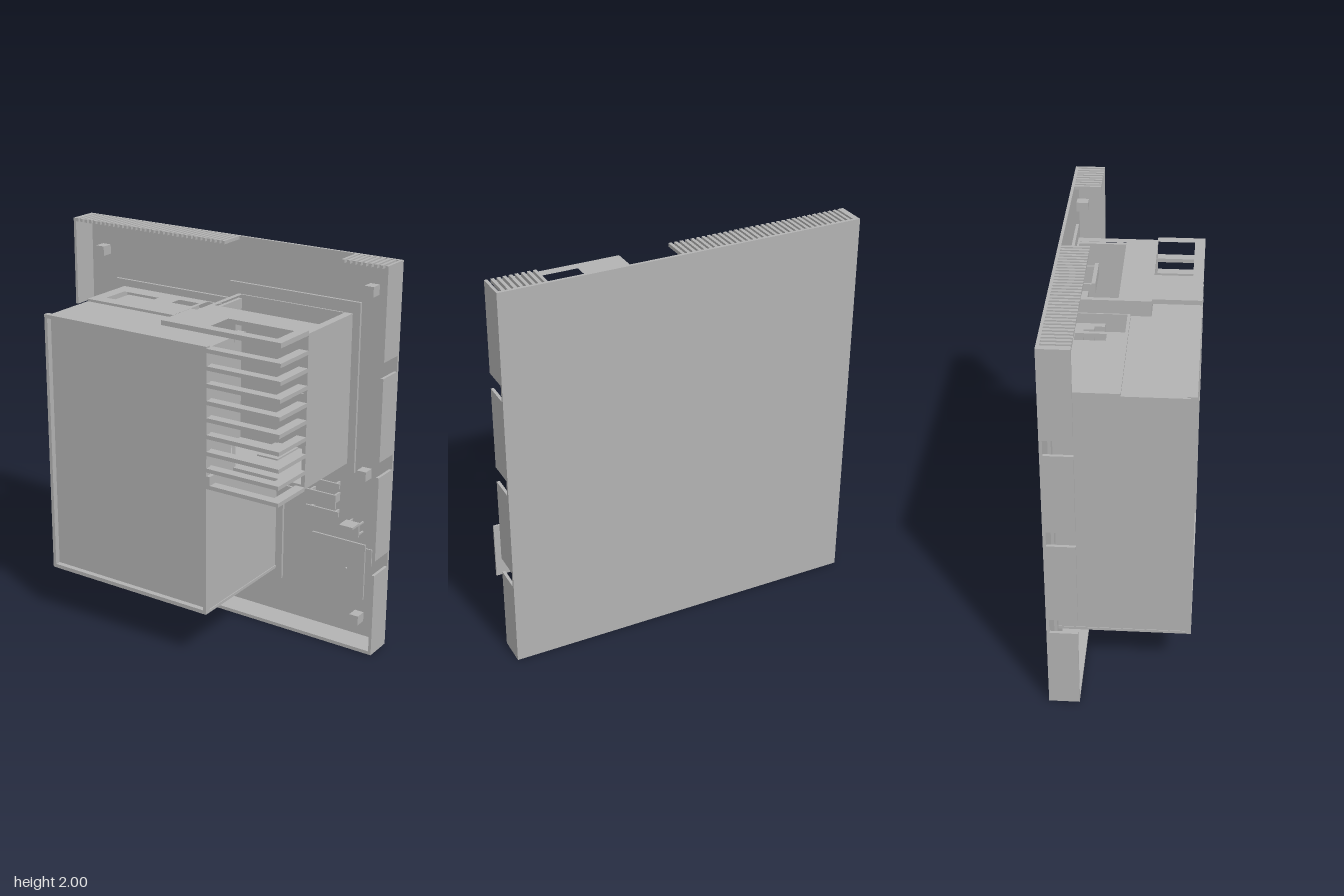
import * as THREE from 'three';

export function createModel() {
  const model = new THREE.Group();
  const grey = new THREE.MeshStandardMaterial({ color: 0xb2b2b2 });
  grey.name = 'plainGrey';

  const add = (name, geo) => {
    const m = new THREE.Mesh(geo, grey);
    m.name = name;
    model.add(m);
    return m;
  };
  // Box from its extents
  const box = (name, x0, x1, y0, y1, z0, z1) =>
    add(name, new THREE.BoxGeometry(x1 - x0, y1 - y0, z1 - z0)
      .translate((x0 + x1) / 2, (y0 + y1) / 2, (z0 + z1) / 2));

  // Slab with rectangular holes. axis is the thickness direction, starting at "at".
  // Rects are [u0,u1,v0,v1]: (x,y) for z, (x,z) for y, (z,y) for x.
  const panel = (name, axis, at, thick, rect, holes = []) => {
    const pts = ([a, b, c, d]) => [[a, c], [b, c], [b, d], [a, d]].map(([u, v]) =>
      new THREE.Vector2(axis === 'x' ? -u : u, axis === 'y' ? -v : v));
    const shape = new THREE.Shape(pts(rect));
    holes.forEach(h => shape.holes.push(new THREE.Path(pts(h))));
    const geo = new THREE.ExtrudeGeometry(shape, { depth: thick, bevelEnabled: false });
    if (axis === 'x') geo.rotateY(Math.PI / 2).translate(at, 0, 0);
    else if (axis === 'y') geo.rotateX(-Math.PI / 2).translate(0, at, 0);
    else geo.translate(0, 0, at);
    return add(name, geo);
  };

  // Plot: base slab, lower wall and side walls with three gaps
  const G = -0.325;
  box('baseSlab', -0.92, 0.92, 0, 2, -0.34, G);
  box('endWall', -0.92, 0.92, 0, 0.018, G, -0.19);
  const spans = [[0.018, 0.44], [0.52, 0.96], [1.04, 1.46], [1.54, 2]];
  for (const s of [-1, 1])
    for (const [a, b] of spans)
      box('sideWall', s * 0.9125 - 0.0075, s * 0.9125 + 0.0075, a, b, G, -0.19);

  // Slatted fence on both sides of the opening
  for (const [a, b] of [[-0.905, 0.02], [0.675, 0.905]])
    for (let x = a; x < b - 0.01; x += 0.0285)
      box('fenceSlat', x, x + 0.016, 1.983, 2, G, -0.19);

  // Plinth around the house
  const plinth = new THREE.Shape([
    [-0.74, 0.215], [0.315, 0.215], [0.315, 0.9], [0.72, 0.9],
    [0.72, 1.77], [-0.025, 1.77], [-0.025, 1.68], [-0.74, 1.68],
  ].map(p => new THREE.Vector2(...p)));
  add('plinth', new THREE.ExtrudeGeometry(plinth, { depth: 0.015, bevelEnabled: false }).translate(0, 0, G));
  const F = -0.31;

  // Main house: inner cores behind the recessed windows
  box('houseCore', -0.66, -0.16, 0.3, 1.6, F, 0.3);
  box('houseCore', -0.16, 0.03, 0.3, 1.5, F, 0.3);
  box('upperCore', 0.03, 0.25, 0.3, 1.6, 0.08, 0.3);
  box('lowerCore', 0.03, 0.25, 0.3, 0.95, F, 0.08);
  box('porchCeiling', -0.16, 0.03, 1.5, 1.61, -0.015, 0.3);

  // Main house walls with window openings
  panel('rightWall', 'x', -0.687, 0.02, [F, 0.31, 0.28, 1.63], [
    [0.08, 0.28, 1.37, 1.55], [0.08, 0.28, 1.11, 1.28],
    [0.08, 0.28, 0.75, 1.04], [0.08, 0.28, 0.35, 0.68]]);
  panel('leftWallLower', 'x', 0.255, 0.02, [F, 0.31, 0.28, 0.95], [
    [0.08, 0.26, 0.325, 0.585], [-0.19, -0.05, 0.335, 0.59]]);
  panel('leftWallUpper', 'x', 0.255, 0.02, [0.08, 0.31, 0.95, 1.63], [
    [0.11, 0.215, 1.39, 1.51], [0.11, 0.215, 1.01, 1.13]]);
  panel('bottomWall', 'y', 0.28, 0.015, [-0.667, 0.255, F, 0.31], [
    [-0.6, -0.25, 0.04, 0.27], [-0.16, 0.2, 0.04, 0.27]]);
  box('bottomLedge', -0.69, 0.28, 0.265, 0.28, F, 0.31);
  panel('topWallLower', 'y', 1.61, 0.033, [-0.687, 0.025, F, 0], [
    [-0.62, -0.4, -0.22, -0.07], [-0.29, -0.17, -0.25, -0.1], [-0.15, 0.018, -0.3, -0.015]]);
  box('topWallUpper', -0.687, 0.275, 1.6, 1.63, 0, 0.31);
  for (let i = 0; i < 4; i++)
    box('porchStep', -0.12 + i * 0.03, -0.09 + i * 0.03, 1.5, 1.6, F, -0.27 + i * 0.05);

  // Flat roof with a raised rim
  box('roof', -0.68, 0.27, 0.275, 1.635, 0.295, 0.312);
  panel('roofRim', 'z', 0.31, 0.03, [-0.69, 0.28, 0.265, 1.64], [[-0.672, 0.262, 0.285, 1.622]]);

  // Side room, open above, with one large window
  panel('roomWindowWall', 'y', 1.69, 0.022, [0.03, 0.68, F, 0.1], [[0.055, 0.64, -0.3, -0.06]]);
  box('roomOuterWall', 0.66, 0.68, 0.945, 1.69, F, 0.1);
  box('roomBackWall', 0.26, 0.66, 0.945, 0.965, F, 0.1);
  box('roomInnerWall', 0.03, 0.05, 0.95, 1.69, F, 0.1);
  box('roomRoofStrip', 0.05, 0.28, 1.6, 1.69, 0.08, 0.1);

  // Pergola: overhanging plate and a row of angled frames
  panel('canopyPlate', 'y', 1.703, 0.024, [0.025, 0.68, 0.1, 0.342], [[0.27, 0.63, 0.1001, 0.29]]);
  for (let i = 0; i < 9; i++) {
    const y = 0.935 + i * 0.0845;
    box('pergolaBeam', 0.265, 0.68, y, y + 0.02, 0.29, 0.34);
    box('pergolaPost', 0.63, 0.68, y, y + 0.02, 0.1, 0.29);
  }
  box('pergolaBracket', 0.275, 0.3, 0.95, 1.0, 0.295, 0.34);

  // Furniture in the side room
  for (let i = 0; i < 4; i++)
    box('shelf', 0.505, 0.62, 1.26, 1.34, -0.3 + i * 0.063, -0.288 + i * 0.063);
  box('shelfSide', 0.54, 0.55, 1.26, 1.34, F, -0.1);
  box('desk', 0.38, 0.6, 1.55, 1.61, -0.22, -0.2);
  for (const x of [0.39, 0.58]) box('deskLeg', x, x + 0.012, 1.56, 1.6, F, -0.22);
  box('bench', 0.43, 0.55, 1.43, 1.48, F, -0.25);
  box('stool', 0.59, 0.63, 1.03, 1.06, F, -0.24);
  panel('innerDoor', 'y', 0.965, 0.008, [0.285, 0.405, -0.3, -0.1], [[0.315, 0.37, -0.22, -0.12]]);

  // Garden blocks
  for (const [x, y] of [[-0.81, 1.825], [0.785, 1.845], [0.785, 0.915], [-0.81, 0.145], [0.775, 0.125]])
    box('gardenBlock', x - 0.025, x + 0.025, y - 0.025, y + 0.025, G, -0.265);

  // Picnic table, benches and door step
  box('picnicTable', 0.47, 0.66, 0.715, 0.79, -0.25, -0.24);
  for (const x of [0.49, 0.63]) box('tableLeg', x, x + 0.01, 0.73, 0.775, G, -0.25);
  for (const y of [0.66, 0.812]) {
    box('picnicBench', 0.47, 0.66, y, y + 0.027, -0.285, -0.275);
    for (const x of [0.49, 0.63]) box('benchLeg', x, x + 0.01, y + 0.005, y + 0.022, G, -0.285);
  }
  box('doorStep', 0.28, 0.395, 0.705, 0.75, G, -0.295);

  // Sunshade with a pole, and two chairs and a small table beneath it
  box('sunshade', 0.622, 0.917, 0.352, 0.645, -0.095, -0.085);
  add('sunshadePole', new THREE.CylinderGeometry(0.005, 0.005, 0.25, 10)
    .rotateX(Math.PI / 2).translate(0.82, 0.5, -0.2));
  box('roundTableTop', 0.77, 0.87, 0.455, 0.545, -0.255, -0.247);
  for (const [x, y, back] of [[0.745, 0.62, 0.655], [0.715, 0.345, 0.313]]) {
    box('chairSeat', x - 0.038, x + 0.038, y - 0.035, y + 0.035, -0.275, -0.265);
    box('chairBack', x - 0.038, x + 0.038, back - 0.006, back + 0.006, -0.275, -0.2);
    for (const dx of [-0.034, 0.026])
      for (const dy of [-0.03, 0.022])
        box('chairLeg', x + dx, x + dx + 0.008, y + dy, y + dy + 0.008, G, -0.275);
  }
  return model;
}
